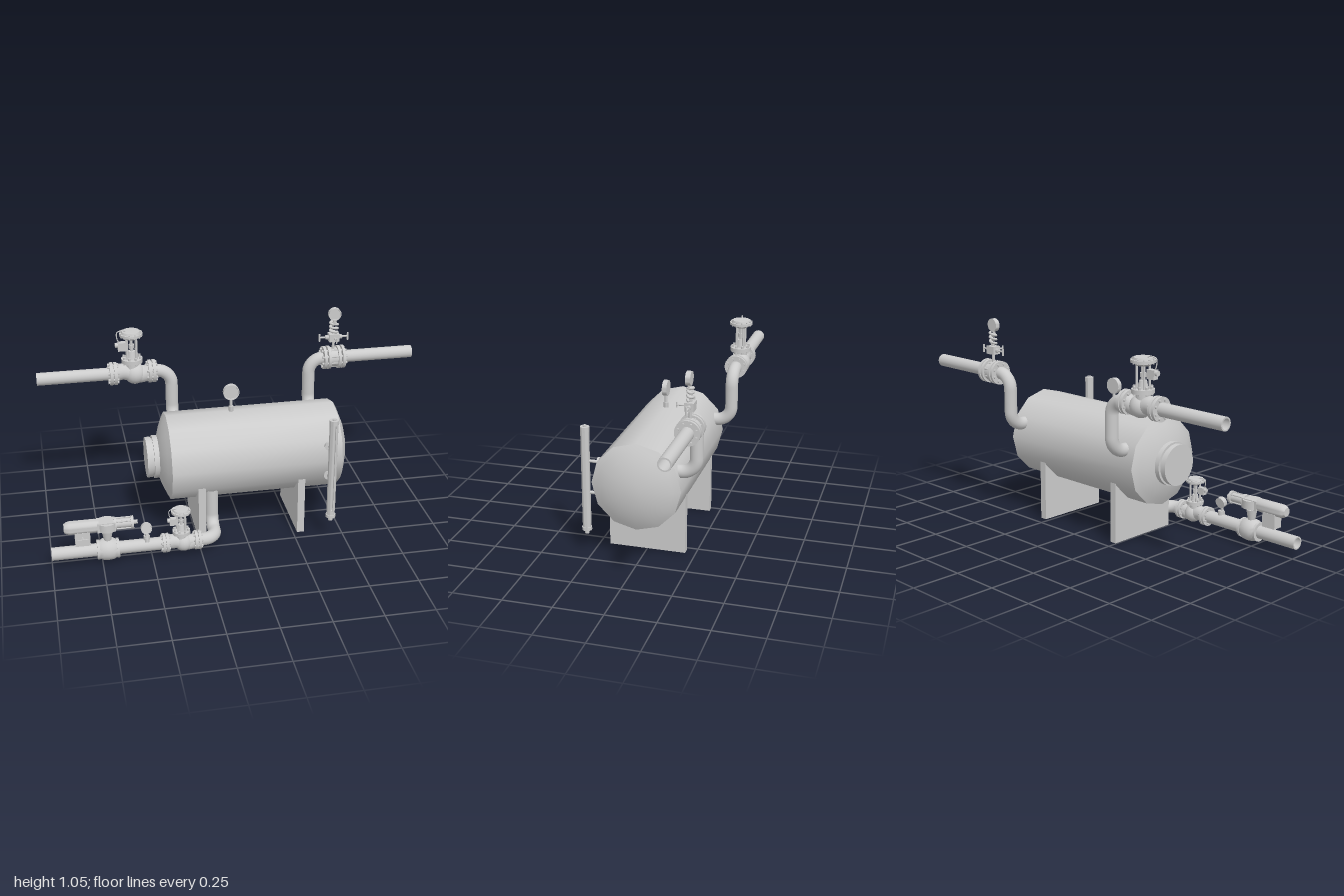
import * as THREE from 'three';
import { toCreasedNormals } from 'three/addons/utils/BufferGeometryUtils.js';

const grey = new THREE.MeshStandardMaterial({ color: 0xcccccc });
const open = new THREE.MeshStandardMaterial({ color: 0xcccccc, side: THREE.DoubleSide });
const V = (x, y, z) => new THREE.Vector3(x, y, z);

function add(parent, name, geo, x = 0, y = 0, z = 0, mat = grey) {
  const m = new THREE.Mesh(geo, mat);
  m.name = name;
  m.position.set(x, y, z);
  parent.add(m);
  return m;
}

function group(parent, name, x, y, z, s = 1) {
  const g = new THREE.Group();
  g.name = name;
  g.position.set(x, y, z);
  g.scale.setScalar(s);
  parent.add(g);
  return g;
}

// Turn a geometry built along y to lie along the given axis
function along(geo, axis) {
  if (axis === 'x') geo.rotateZ(-Math.PI / 2);
  if (axis === 'z') geo.rotateX(Math.PI / 2);
  return geo;
}
const cyl = (r, h, axis = 'y', seg = 20, r2 = r) => along(new THREE.CylinderGeometry(r2, r, h, seg), axis);
const box = (w, h, d) => new THREE.BoxGeometry(w, h, d);

// Lathe from [radius, distance] pairs, listed from low to high distance
function lathe(pts, axis = 'y', seg = 24, crease = 0.6) {
  const g = new THREE.LatheGeometry(pts.map(p => new THREE.Vector2(p[0], p[1])), seg);
  return toCreasedNormals(along(g, axis), crease);
}

// Ring of hexagonal bolts, pitch circle radius r
function bolts(parent, n, r, len, axis, x, y, z, size = 0.007) {
  for (let i = 0; i < n; i++) {
    const a = (i + 0.5) / n * Math.PI * 2, c = r * Math.cos(a), s = r * Math.sin(a);
    const p = axis === 'x' ? [x, y + c, z + s] : [x + c, y, z + s];
    add(parent, 'bolt', cyl(size, len, axis, 6), ...p);
  }
}

// Two mating flanges across the pipe
function flangePair(parent, x, r = 0.06) {
  for (const s of [-1, 1]) add(parent, 'flange', cyl(r, 0.016, 'x', 28), x + s * 0.011);
  add(parent, 'gasket', cyl(r * 0.75, 0.01, 'x', 24), x);
  bolts(parent, 8, r * 0.77, 0.056, 'x', x, 0, 0);
}

// Pipe along straight runs with rounded corners
function pipe(parent, name, pts, bend, r = 0.033) {
  const path = new THREE.CurvePath();
  let from = pts[0];
  for (let i = 1; i < pts.length - 1; i++) {
    const c = pts[i];
    const a = c.clone().add(pts[i - 1].clone().sub(c).setLength(bend));
    const b = c.clone().add(pts[i + 1].clone().sub(c).setLength(bend));
    if (from.distanceTo(a) > 1e-3) path.add(new THREE.LineCurve3(from, a));
    path.add(new THREE.CubicBezierCurve3(a, a.clone().lerp(c, 0.5523), b.clone().lerp(c, 0.5523), b));
    from = b;
  }
  path.add(new THREE.LineCurve3(from, pts.at(-1)));
  add(parent, name, new THREE.TubeGeometry(path, pts.length > 2 ? 110 : 4, r, 20), 0, 0, 0, open);
  const rim = new THREE.RingGeometry(r * 0.78, r, 20).rotateY(Math.PI / 2);
  add(parent, name + 'Rim', rim, pts[0].x, pts[0].y, pts[0].z, open);
}

// Round dial gauge facing the front
function gauge(parent, name, x, y, z, r, stem) {
  const g = group(parent, name, x, y, z);
  const t = 0.012;
  add(g, 'dial', lathe([[0, -t], [r, -t], [r, t], [r * 0.88, t], [r * 0.85, t * 0.6], [0, t * 0.6]], 'z', 28));
  add(g, 'stem', cyl(0.008, stem, 'y', 12), 0, -r - stem / 2 + 0.004);
  add(g, 'nut', cyl(0.013, stem * 0.5, 'y', 6), 0, -r - stem * 0.75);
  return g;
}

// Globe control valve with diaphragm actuator
function controlValve(parent, name, x, y, z, s) {
  const g = group(parent, name, x, y, z, s);
  for (const k of [-1, 1]) flangePair(g, k * 0.1);
  const body = new THREE.CatmullRomCurve3([V(-0.1, 0, 0), V(-0.045, 0.008, 0), V(0.035, -0.016, 0), V(0.1, 0, 0)]);
  add(g, 'valveBody', new THREE.TubeGeometry(body, 16, 0.043, 20));
  add(g, 'valveBelly', new THREE.SphereGeometry(0.056, 20, 14), 0.012, -0.006);
  add(g, 'neck', cyl(0.036, 0.07), 0, 0.035);
  add(g, 'bonnetFlange', cyl(0.055, 0.02, 'y', 28), 0, 0.07);
  bolts(g, 8, 0.044, 0.042, 'y', 0, 0.072, 0);
  add(g, 'bonnet', cyl(0.026, 0.04, 'y', 20, 0.018), 0, 0.1);
  add(g, 'spindle', cyl(0.008, 0.13, 'y', 12), 0, 0.14);
  add(g, 'coupling', cyl(0.016, 0.02, 'y', 6), 0, 0.145);
  for (const sx of [-1, 1]) for (const sz of [-1, 1])
    add(g, 'yokeColumn', cyl(0.006, 0.125, 'y', 10), sx * 0.024, 0.14, sz * 0.018);
  add(g, 'diaphragmCase', lathe([[0, 0.19], [0.035, 0.19], [0.048, 0.2], [0.048, 0.205], [0.06, 0.205], [0.06, 0.218],
    [0.05, 0.218], [0.046, 0.229], [0, 0.231]], 'y', 28));
  bolts(g, 12, 0.054, 0.024, 'y', 0, 0.2115, 0, 0.004);
  add(g, 'positioner', box(0.045, 0.045, 0.03), -0.048, 0.152, 0.01);
  add(g, 'positionerDial', cyl(0.013, 0.03, 'x', 12), -0.07, 0.16, 0.01);
  const air = new THREE.CatmullRomCurve3([V(-0.06, 0.17, 0.01), V(-0.072, 0.19, 0.01), V(-0.072, 0.228, 0.01), V(-0.04, 0.236, 0.005), V(-0.02, 0.225, 0)]);
  add(g, 'airLine', new THREE.TubeGeometry(air, 24, 0.003, 8));
}

export function createModel() {
  const model = new THREE.Group();
  model.name = 'pressureVessel';

  // Vessel: twelve-sided shell with shallow domed ends
  const tank = group(model, 'tank', 0, 0.416, 0);
  const R = 0.225, dome = [];
  for (let i = 0; i <= 6; i++) {
    const a = (1 - i / 6) * 0.505, S = R / Math.sin(0.505);
    dome.push([S * Math.sin(a), S * (Math.cos(a) - Math.cos(0.505))]);
  }
  add(tank, 'shell', lathe([[R, -0.377], [R, 0.495]], 'x', 12));
  add(tank, 'rightDome', lathe(dome, 'x', 12), 0.495);
  add(tank, 'leftDome', lathe(dome, 'x', 12).rotateY(Math.PI), -0.377);
  add(tank, 'manway', lathe([[0, -0.485], [0.104, -0.485], [0.104, -0.458], [0.097, -0.458], [0.097, -0.45],
    [0.11, -0.45], [0.11, -0.425], [0.1, -0.425], [0.1, -0.39]], 'x', 28));
  for (const x of [-0.227, 0.29]) add(model, 'saddleLeg', box(0.037, 0.312, 0.395), x, 0.156, 0);

  gauge(model, 'tankGauge', -0.04, 0.744, 0, 0.041, 0.075);

  // Upper lines, behind the vessel
  const uy = 0.77, uz = -0.285;
  pipe(model, 'upperLeftPipe', [V(-1, uy, uz), V(-0.305, uy, uz), V(-0.305, 0.5, uz), V(-0.305, 0.5, -0.17)], 0.078);
  pipe(model, 'upperRightPipe', [V(1, uy, uz), V(0.435, uy, uz), V(0.435, 0.5, uz), V(0.435, 0.5, -0.17)], 0.075);
  controlValve(model, 'upperControlValve', -0.507, uy, uz, 1);

  // Flow meter: orifice flanges, manifold, coil and gauge
  const meter = group(model, 'flowMeter', 0.567, uy, uz);
  for (const x of [-0.05, -0.027, 0.027, 0.05]) add(meter, 'flange', cyl(0.062, 0.015, 'x', 28), x);
  add(meter, 'orificePlate', cyl(0.05, 0.05, 'x', 24));
  bolts(meter, 8, 0.047, 0.135, 'x', 0, 0, 0);
  add(meter, 'tapStem', cyl(0.008, 0.07, 'y', 12), 0, 0.07);
  add(meter, 'manifold', box(0.056, 0.042, 0.045), 0, 0.115);
  for (const s of [-1, 1]) {
    add(meter, 'valveStem', cyl(0.005, 0.055, 'x', 10), s * 0.05, 0.115);
    add(meter, 'valveNut', cyl(0.012, 0.018, 'x', 6), s * 0.036, 0.115);
    add(meter, 'valveHandle', cyl(0.005, 0.042, 'y', 8), s * 0.077, 0.115);
  }
  add(meter, 'frontValveStem', cyl(0.005, 0.045, 'z', 10), 0, 0.115, 0.042);
  add(meter, 'frontValveHandle', cyl(0.004, 0.026, 'y', 8), 0, 0.115, 0.064);
  const coil = [];
  for (let i = 0; i <= 36; i++) {
    const a = i / 36 * Math.PI * 6;
    coil.push(V(0.02 * Math.cos(a), 0.142 + 0.064 * i / 36, 0.012 * Math.sin(a)));
  }
  add(meter, 'syphonCoil', new THREE.TubeGeometry(new THREE.CatmullRomCurve3(coil), 90, 0.007, 10));
  add(meter, 'syphonFoot', cyl(0.009, 0.02, 'y', 10), 0, 0.14);
  gauge(meter, 'meterGauge', 0, 0.246, 0.006, 0.034, 0.02);

  // Lower line, in front of the vessel and rising into its underside
  const ly = 0.072, lz = 0.285;
  pipe(model, 'lowerPipe', [V(-1, ly, lz), V(-0.17, ly, lz), V(-0.17, ly, 0.145), V(-0.17, 0.28, 0.145)], 0.069);
  controlValve(model, 'lowerControlValve', -0.35, ly, lz, 0.82);
  const small = gauge(model, 'lineGauge', -0.525, 0.168, lz, 0.028, 0.045);
  small.rotation.x = -0.2;
  add(model, 'gaugeBoss', cyl(0.016, 0.03, 'y', 12), -0.525, 0.11, lz);

  // Ball valve with motor drive
  const ball = group(model, 'motorValve', -0.72, ly, lz);
  add(ball, 'ballBody', lathe([[0.033, -0.055], [0.05, -0.055], [0.05, -0.042], [0.046, -0.042], [0.055, -0.025], [0.057, 0],
    [0.055, 0.025], [0.046, 0.042], [0.05, 0.042], [0.05, 0.055], [0.033, 0.055]], 'x', 28));
  add(ball, 'mountingCone', cyl(0.018, 0.055, 'y', 20, 0.028), 0, 0.078);
  add(ball, 'drivePost', cyl(0.012, 0.05, 'y', 12), 0, 0.12);
  add(ball, 'gearBox', box(0.09, 0.05, 0.065), -0.004, 0.138);
  add(ball, 'gearDrum', cyl(0.05, 0.042, 'y', 24), 0, 0.138);
  add(ball, 'motor', lathe([[0, -0.212], [0.022, -0.212], [0.03, -0.2], [0.034, -0.185], [0.034, -0.06], [0.03, -0.04], [0, -0.04]], 'x'), 0, 0.14);
  add(ball, 'controlBox', box(0.075, 0.075, 0.055), -0.123, 0.082);
  add(ball, 'handBar', box(0.055, 0.005, 0.005), -0.123, 0.093, 0.05);
  add(ball, 'handBarPost', cyl(0.004, 0.026, 'z', 8), -0.123, 0.093, 0.038);
  add(ball, 'springCylinder', cyl(0.024, 0.1, 'x'), 0.08, 0.14);
  for (const x of [0.04, 0.125]) add(ball, 'springCap', cyl(0.033, 0.014, 'x'), x, 0.14);
  for (let i = 0; i < 4; i++) {
    const a = (i + 0.5) * Math.PI / 2;
    add(ball, 'tieRod', cyl(0.004, 0.1, 'x', 8), 0.083, 0.14 + 0.028 * Math.cos(a), 0.028 * Math.sin(a));
  }
  add(ball, 'endNut', cyl(0.011, 0.025, 'x', 6), 0.14, 0.14);

  // Level column: slotted tube with a sight glass
  const level = group(model, 'levelColumn', 0.426, 0, 0.278);
  const slot = new THREE.Shape();
  slot.absarc(0, 0, 0.022, -Math.PI / 2 + 0.25, Math.PI * 1.5 - 0.25, false);
  slot.absarc(0, 0, 0.016, Math.PI * 1.5 - 0.35, -Math.PI / 2 + 0.35, true);
  const tube = new THREE.ExtrudeGeometry(slot, { depth: 0.49, bevelEnabled: false, curveSegments: 24 }).rotateX(-Math.PI / 2);
  add(level, 'slottedTube', toCreasedNormals(tube, 0.6), 0, 0.165, 0);
  add(level, 'sightGlass', cyl(0.008, 0.49, 'y', 12), 0, 0.41);
  add(level, 'topCap', lathe([[0, 0.65], [0.023, 0.65], [0.023, 0.675], [0.01, 0.675], [0.01, 0.682], [0, 0.682]]));
  add(level, 'bottomCap', lathe([[0, 0.105], [0.011, 0.105], [0.011, 0.125], [0.025, 0.125], [0.025, 0.142], [0.021, 0.142], [0.021, 0.168], [0, 0.168]]));
  for (const y of [0.33, 0.497]) {
    add(level, 'connector', cyl(0.008, 0.1, 'z', 12), 0, y, -0.06);
    add(level, 'connectorFlange', cyl(0.024, 0.012, 'z', 20), 0, y, -0.07);
  }
  return model;
}
